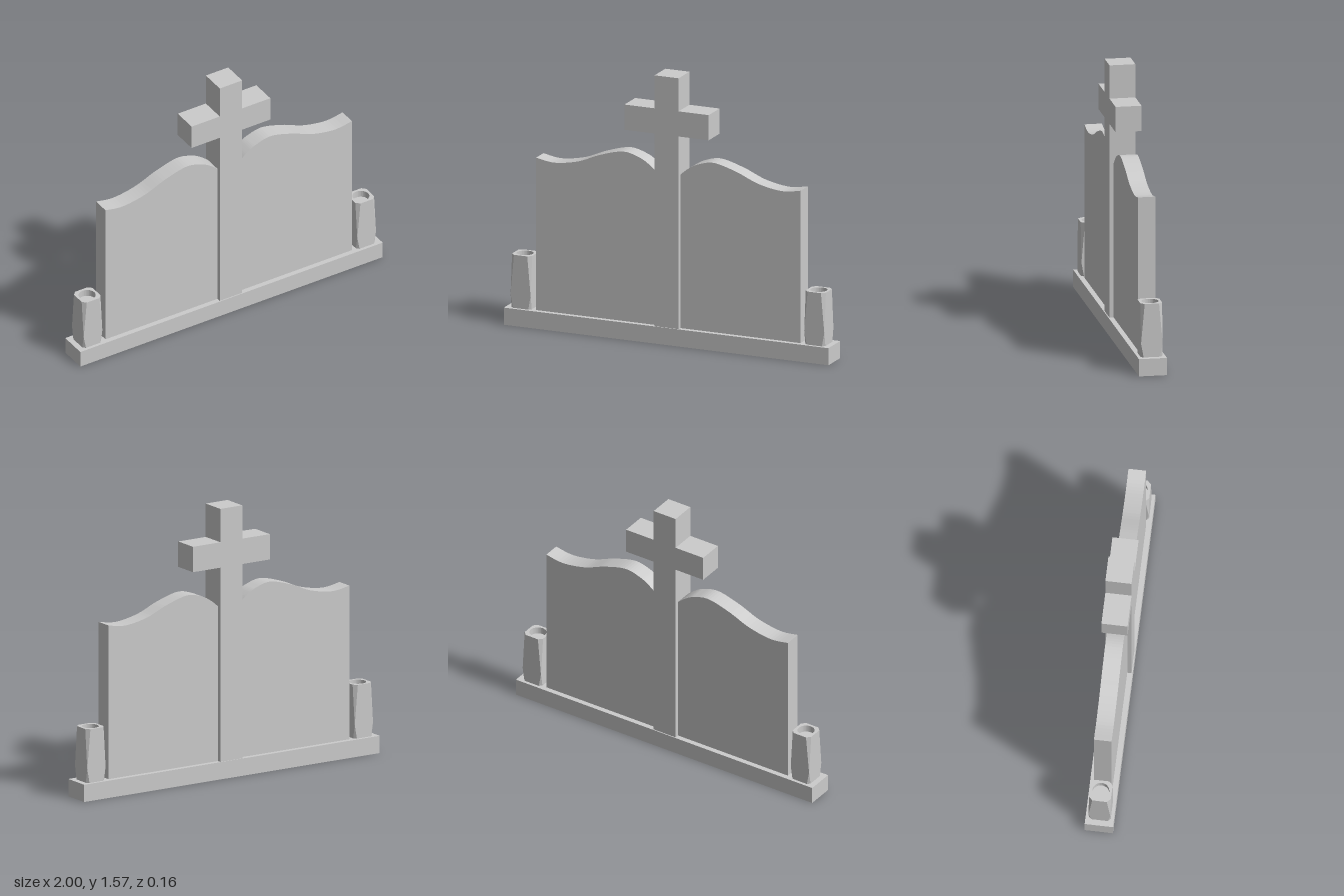
import * as THREE from 'three';

const material = new THREE.MeshStandardMaterial({ color: 0xcccccc, flatShading: true, side: THREE.DoubleSide });

function addMesh(parent, name, geometry, x = 0, y = 0, z = 0) {
  const mesh = new THREE.Mesh(geometry, material);
  mesh.name = name;
  mesh.position.set(x, y, z);
  parent.add(mesh);
  return mesh;
}

// Extrude a front outline, centred on z = 0
function extrudeCentred(shape, depth, curveSegments = 12) {
  const geometry = new THREE.ExtrudeGeometry(shape, { depth, bevelEnabled: false, curveSegments });
  return geometry.translate(0, 0, -depth / 2);
}

// Square outline with its corners cut off
function cutSquare(half, cut) {
  const a = half - cut;
  return [[half, -a], [half, a], [a, half], [-a, half], [-half, a], [-half, -a], [-a, -half], [a, -half]];
}

// Tablet with a wavy top edge; side is +1 or -1
function tabletGeometry(side) {
  const wave = [[0.073, 0.995], [0.12, 1.034], [0.18, 1.067], [0.28, 1.089], [0.42, 1.053],
    [0.555, 0.999], [0.7, 0.974], [0.815, 0.99]].map(([x, y]) => new THREE.Vector2(side * x, y));
  const shape = new THREE.Shape();
  shape.moveTo(side * 0.073, 0.1);
  shape.lineTo(wave[0].x, wave[0].y);
  shape.splineThru(wave.slice(1));
  shape.lineTo(side * 0.815, 0.1);
  shape.closePath();
  return extrudeCentred(shape, 0.1, 6);
}

// Square vase whose corner cuts widen above and below the belly
function createVase() {
  const vase = new THREE.Group();
  const half = 0.062, height = 0.31, holeRadius = 0.048, holeDepth = 0.04;
  const topCut = 0.021;
  const levels = [[0, 0.015], [0.08, 0.0003], [height, topCut]];
  const positions = [], indices = [];
  for (const [y, cut] of levels) {
    for (const [x, z] of cutSquare(half, cut)) positions.push(x, y, z);
  }
  for (let level = 0; level < levels.length - 1; level++) {
    for (let i = 0; i < 8; i++) {
      const a = level * 8 + i, b = level * 8 + (i + 1) % 8;
      indices.push(a, a + 8, b + 8, a, b + 8, b);
    }
  }
  const body = new THREE.BufferGeometry();
  body.setAttribute('position', new THREE.Float32BufferAttribute(positions, 3));
  body.setIndex(indices);
  const flatBody = body.toNonIndexed();
  flatBody.computeVertexNormals();
  addMesh(vase, 'vaseBody', flatBody);

  // Rim around the round opening
  const rim = new THREE.Shape(cutSquare(half, topCut).map(([x, y]) => new THREE.Vector2(x, y)));
  rim.holes.push(new THREE.Path().absarc(0, 0, holeRadius, 0, Math.PI * 2, true));
  addMesh(vase, 'vaseRim', new THREE.ShapeGeometry(rim, 16).rotateX(-Math.PI / 2), 0, height);

  // Wall and floor of the opening
  const wall = new THREE.CylinderGeometry(holeRadius, holeRadius, holeDepth, 32, 1, true);
  addMesh(vase, 'vaseOpeningWall', wall, 0, height - holeDepth / 2);
  const floor = new THREE.CircleGeometry(holeRadius, 32).rotateX(-Math.PI / 2);
  addMesh(vase, 'vaseOpeningFloor', floor, 0, height - holeDepth);
  return vase;
}

export function createModel() {
  const model = new THREE.Group();
  model.name = 'headstone';

  addMesh(model, 'base', new THREE.BoxGeometry(2, 0.1, 0.16), 0, 0.05);

  // Cross as a single outline
  const w = 0.074, arm = 0.26, low = 1.225, high = 1.372, top = 1.565;
  const rightSide = [[w, 0.1], [w, low], [arm, low], [arm, high], [w, high], [w, top]];
  const leftSide = rightSide.map(([x, y]) => [-x, y]).reverse();
  const outline = [...rightSide, ...leftSide].map(([x, y]) => new THREE.Vector2(x, y));
  addMesh(model, 'cross', extrudeCentred(new THREE.Shape(outline), 0.148));

  for (const side of [1, -1]) {
    const prefix = side > 0 ? 'left' : 'right';
    addMesh(model, prefix + 'Tablet', tabletGeometry(side));
    const vase = createVase();
    vase.name = prefix + 'Vase';
    vase.position.set(side * 0.905, 0.1, 0);
    model.add(vase);
  }
  return model;
}
